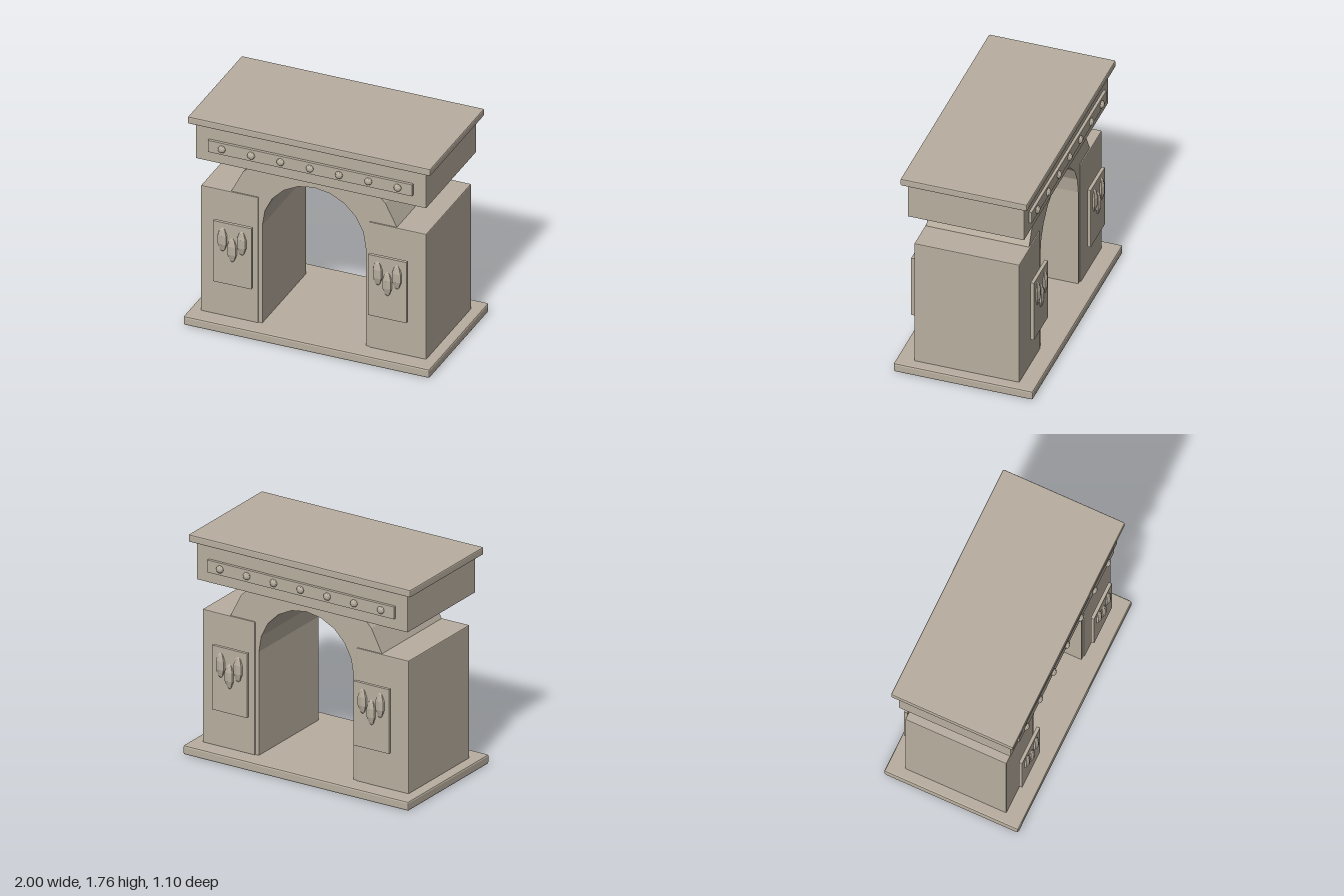
import * as THREE from 'three';
import { RoundedBoxGeometry } from 'three/addons/geometries/RoundedBoxGeometry.js';

export function createModel() {
  const model = new THREE.Group();
  model.name = 'stoneArch';
  const stone = new THREE.MeshStandardMaterial({ color: 0xb8ae9f, flatShading: true });
  stone.name = 'stone';

  function add(name, geometry, x = 0, y = 0, z = 0, parent = model) {
    const mesh = new THREE.Mesh(geometry, stone);
    mesh.name = name;
    mesh.position.set(x, y, z);
    parent.add(mesh);
    return mesh;
  }

  // Block with softly worn edges, placed by its bottom and top heights
  function block(name, w, d, y0, y1, edge, x = 0, z = 0, parent = model) {
    return add(name, new RoundedBoxGeometry(w, y1 - y0, d, 1, edge), x, (y0 + y1) / 2, z, parent);
  }

  // Plinth, lintel and cap slab
  block('plinth', 2, 1.1, 0, 0.075, 0.014);
  block('lintel', 1.87, 0.92, 1.395, 1.7, 0.005);
  block('capSlab', 1.97, 1, 1.7, 1.76, 0.01);

  // Piers
  for (const side of [-1, 1]) {
    block('pier', 0.465, 0.83, 0.07, 1.145, 0.007, side * 0.6825);
  }

  // Faceted arch with straight legs
  const inner = 0.42, outer = 0.715, spring = 0.91, foot = 0.06, steps = 10;
  const outline = [new THREE.Vector2(outer, foot)];
  for (let i = 0; i <= steps; i++) {
    const a = (i / steps) * Math.PI;
    outline.push(new THREE.Vector2(outer * Math.cos(a), spring + outer * Math.sin(a)));
  }
  outline.push(new THREE.Vector2(-outer, foot), new THREE.Vector2(-inner, foot));
  for (let i = steps; i >= 0; i--) {
    const a = (i / steps) * Math.PI;
    outline.push(new THREE.Vector2(inner * Math.cos(a), spring + inner * Math.sin(a)));
  }
  outline.push(new THREE.Vector2(inner, foot));
  const archGeometry = new THREE.ExtrudeGeometry(new THREE.Shape(outline), { depth: 0.81, bevelEnabled: false });
  archGeometry.translate(0, 0, -0.405);
  add('arch', archGeometry);

  // Carved leaf: a pointed, faceted spindle
  const leafProfile = [[0, -0.108], [0.022, -0.088], [0.043, -0.035], [0.043, 0.035], [0.026, 0.08], [0, 0.108]]
    .map(([r, y]) => new THREE.Vector2(r, y));
  const leafGeometry = new THREE.LatheGeometry(leafProfile, 7);
  leafGeometry.scale(1, 1, 0.65);
  const studGeometry = new THREE.IcosahedronGeometry(0.031, 1);
  studGeometry.scale(1, 1, 0.7);

  // Same ornament on the front and the back
  for (const turn of [0, Math.PI]) {
    const face = new THREE.Group();
    face.name = turn ? 'backOrnament' : 'frontOrnament';
    face.rotation.y = turn;
    model.add(face);

    block('frieze', 1.66, 0.03, 1.485, 1.585, 0.003, 0, 0.468, face);
    for (let i = -3; i <= 3; i++) {
      add('friezeStud', studGeometry, i * 0.238, 1.535, 0.486, face);
    }

    for (const side of [-1, 1]) {
      const x = side * 0.63;
      block('panel', 0.315, 0.028, 0.39, 0.91, 0.003, x, 0.471, face);
      for (const [dx, y] of [[-0.078, 0.767], [0, 0.692], [0.078, 0.767]]) {
        add('carvedLeaf', leafGeometry, x + dx, y, 0.481, face);
      }
    }
  }
  return model;
}
